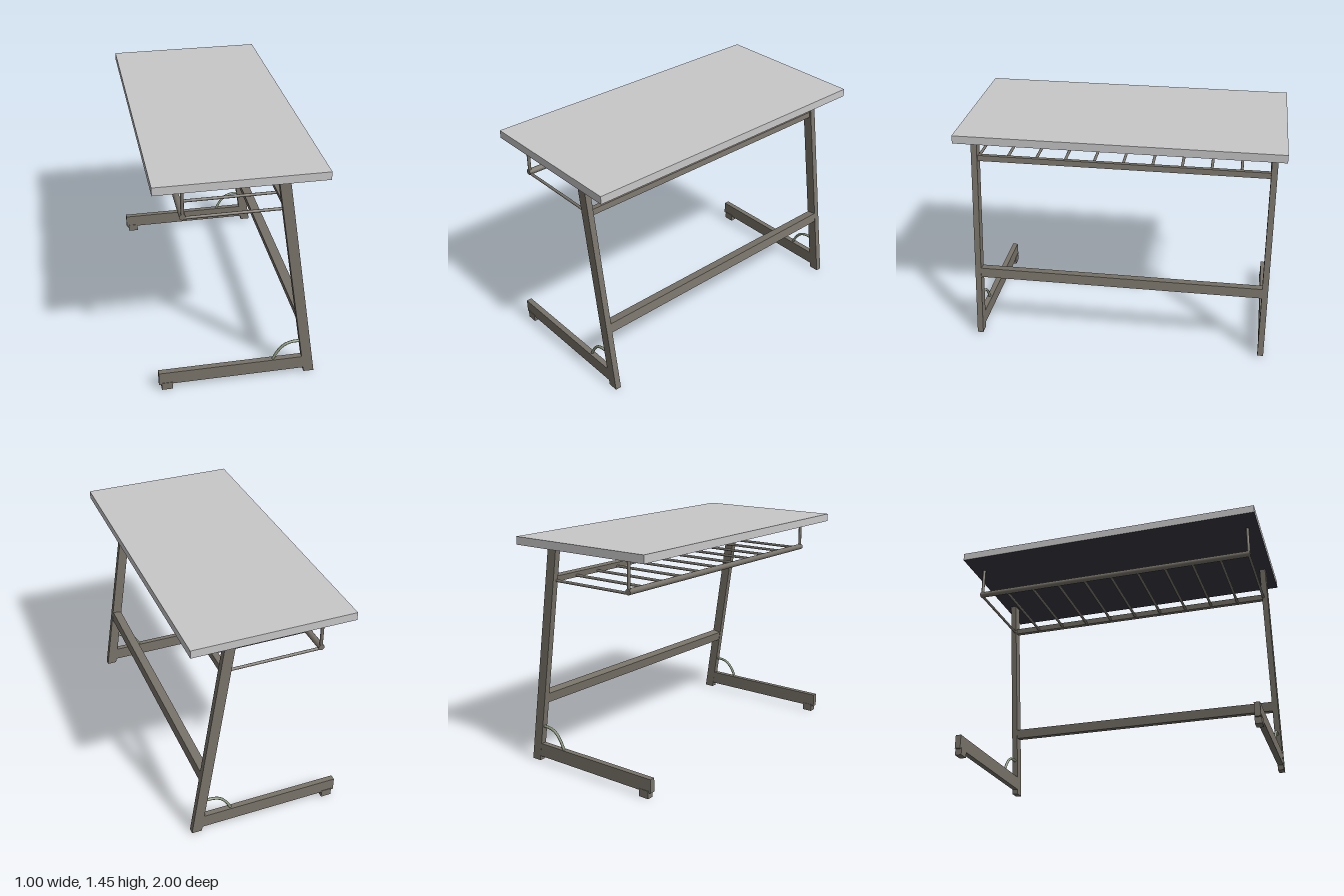
import * as THREE from 'three';

export function createModel() {
  const model = new THREE.Group();
  const mat = (name, color, side = THREE.FrontSide) => {
    const m = new THREE.MeshStandardMaterial({ color, side });
    m.name = name;
    return m;
  };
  const topGrey = mat('topGrey', 0xc8c8c8);
  const underside = mat('darkUnderside', 0x3a3844);
  const steel = mat('steelBrown', 0x79746a);
  const braceGreen = mat('braceGreen', 0x8b977c);

  const add = (name, geometry, material, x = 0, y = 0, z = 0) => {
    const mesh = new THREE.Mesh(geometry, material);
    mesh.name = name;
    mesh.position.set(x, y, z);
    model.add(mesh);
    return mesh;
  };
  const box = (name, w, h, d, x, y, z, material = steel) =>
    add(name, new THREE.BoxGeometry(w, h, d), material, x, y, z);
  // round bar between two points
  const rod = (name, a, b, radius) => {
    const from = new THREE.Vector3(...a), to = new THREE.Vector3(...b);
    const dir = to.clone().sub(from);
    const mesh = add(name, new THREE.CylinderGeometry(radius, radius, dir.length(), 12), steel);
    mesh.position.copy(from).add(to).multiplyScalar(0.5);
    mesh.quaternion.setFromUnitVectors(new THREE.Vector3(0, 1, 0), dir.normalize());
  };

  // desk top, dark below
  box('deskTop', 1, 0.05, 2, 0, 1.425, 0,
    [topGrey, topGrey, topGrey, underside, topGrey, topGrey]);

  // leaning leg outline
  const legShape = new THREE.Shape([
    [0.425, 0.008], [0.49, 0.008], [0.28, 1.4], [0.215, 1.4],
  ].map(([x, y]) => new THREE.Vector2(x, y)));
  const legGeometry = new THREE.ExtrudeGeometry(legShape, { depth: 0.038, bevelEnabled: false });
  legGeometry.translate(0, 0, -0.019);

  // curved brace between foot and leg
  const braceCurve = new THREE.CatmullRomCurve3([
    [0.225, 0.12], [0.255, 0.178], [0.295, 0.222], [0.34, 0.24], [0.395, 0.243],
  ].map(([x, y]) => new THREE.Vector3(x, y, 0)));
  const braceGeometry = new THREE.TubeGeometry(braceCurve, 16, 0.009, 8);

  for (const s of [1, -1]) {
    const z = s * 0.936;
    add('leg', legGeometry, steel, 0, 0, z);
    box('foot', 0.92, 0.087, 0.036, -0.03, 0.0825, z);
    box('footPad', 0.068, 0.05, 0.042, -0.44, 0.025, z);
    add('brace', braceGeometry, braceGreen, 0, 0, z);
    rod('basketHanger', [-0.325, 1.21, s * 0.925], [-0.325, 1.4, s * 0.925], 0.01);
  }

  // cross bars, tilted with the legs
  const lean = Math.atan2(0.21, 1.392);
  box('lowerCrossBar', 0.06, 0.062, 1.84, 0.393, 0.437, 0).rotation.z = lean;
  box('upperCrossBar', 0.04, 0.036, 1.84, 0.277, 1.21, 0).rotation.z = lean;

  // book basket
  rod('basketRail', [-0.325, 1.21, -0.935], [-0.325, 1.21, 0.935], 0.019);
  const rods = 11;
  for (let i = 0; i < rods; i++) {
    const z = -0.925 + (1.85 * i) / (rods - 1);
    rod('basketRod', [-0.325, 1.2, z], [0.27, 1.2, z], 0.009);
  }
  return model;
}
